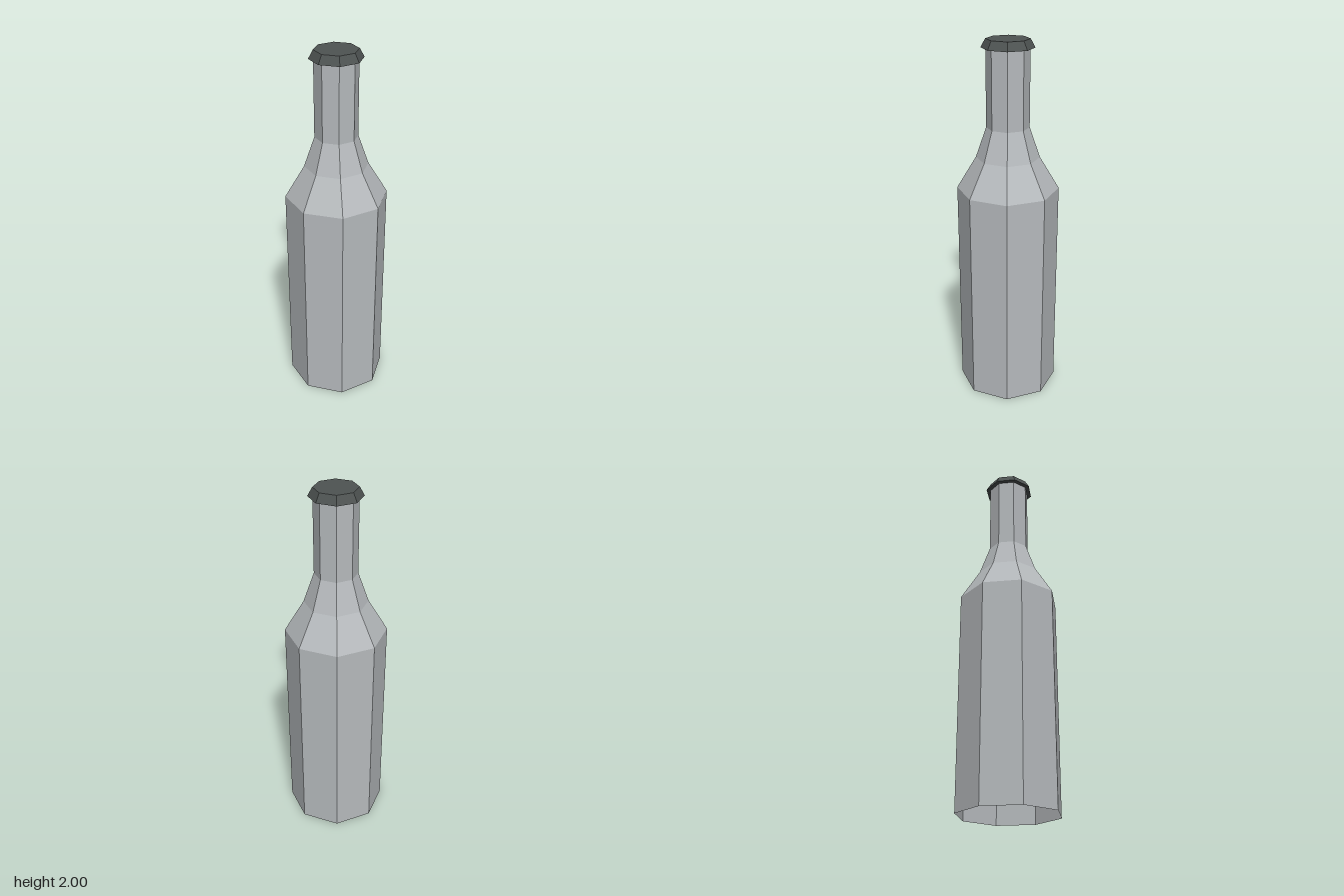
import * as THREE from 'three';

const SIDES = 8;

export function createModel() {
  const group = new THREE.Group();
  group.name = 'bottle';

  const glass = new THREE.MeshStandardMaterial({ color: 0xb6babd, flatShading: true, side: THREE.DoubleSide });
  glass.name = 'pale grey glass';
  const metal = new THREE.MeshStandardMaterial({ color: 0x4e5352, flatShading: true });
  metal.name = 'dark grey cap';

  // Body, shoulder and neck in one open-bottomed shell: [radius, height]
  const profile = [[0.277, 0], [0.277, 1.2], [0.172, 1.375], [0.115, 1.54], [0.115, 1.96]];
  const shell = new THREE.Mesh(
    new THREE.LatheGeometry(profile.map(([r, y]) => new THREE.Vector2(r, y)), SIDES),
    glass
  );
  shell.name = 'bottleShell';
  group.add(shell);

  // Tapered cap on top of the neck
  const cap = new THREE.Mesh(new THREE.CylinderGeometry(0.115, 0.14, 0.045, SIDES), metal);
  cap.name = 'cap';
  cap.position.y = 1.9775;
  group.add(cap);

  return group;
}
